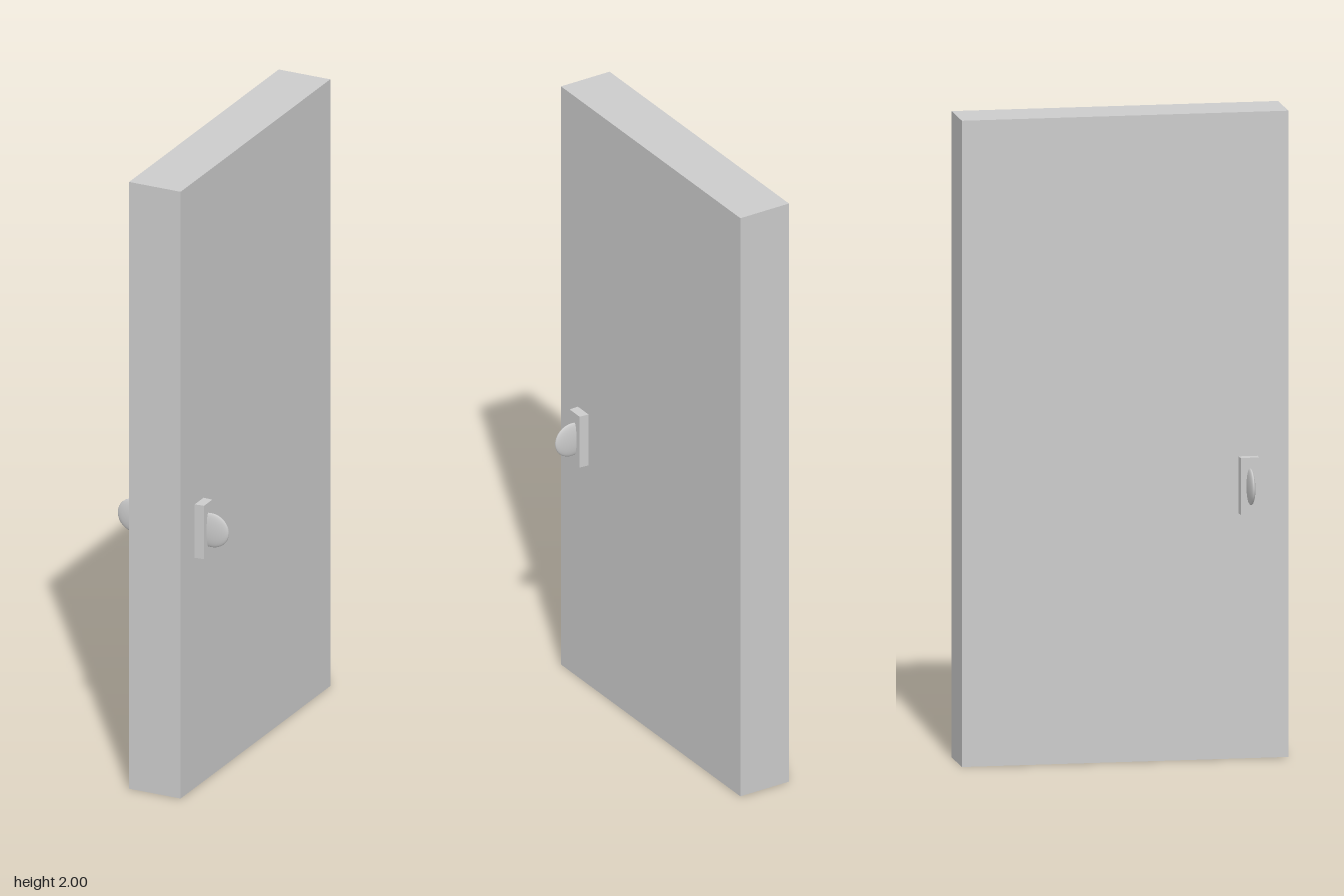
import * as THREE from 'three';

const WIDTH = 1.012, HEIGHT = 2, DEPTH = 0.176;

export function createModel() {
  const group = new THREE.Group();
  const material = new THREE.MeshStandardMaterial({ color: 0xcccccc });

  // The whole door stands swung open
  const door = new THREE.Group();
  door.name = 'door';
  door.rotation.y = THREE.MathUtils.degToRad(40);
  group.add(door);

  function addPart(name, geometry, parent) {
    const mesh = new THREE.Mesh(geometry, material);
    mesh.name = name;
    parent.add(mesh);
    return mesh;
  }

  const panel = addPart('doorPanel', new THREE.BoxGeometry(WIDTH, HEIGHT, DEPTH), door);
  panel.position.y = HEIGHT / 2;

  // Same handle on both faces: tall mounting plate with a thin oval turn knob
  for (const side of [1, -1]) {
    const handle = new THREE.Group();
    handle.name = side > 0 ? 'frontHandle' : 'backHandle';
    handle.position.set(-0.381, 0.847, side * DEPTH / 2);
    if (side < 0) handle.rotation.y = Math.PI;
    door.add(handle);

    // Plate narrows slightly towards its outer face
    const plateGeometry = new THREE.BoxGeometry(0.062, 0.176, 0.042);
    const p = plateGeometry.attributes.position;
    for (let i = 0; i < p.count; i++) {
      if (p.getZ(i) > 0) p.setX(i, p.getX(i) * 0.9);
    }
    plateGeometry.computeVertexNormals();
    addPart('handlePlate', plateGeometry, handle).position.z = 0.01;

    const knob = addPart('handleKnob', new THREE.SphereGeometry(1, 24, 16), handle);
    knob.scale.set(0.011, 0.056, 0.06);
    knob.position.z = 0.042;
  }

  return group;
}
